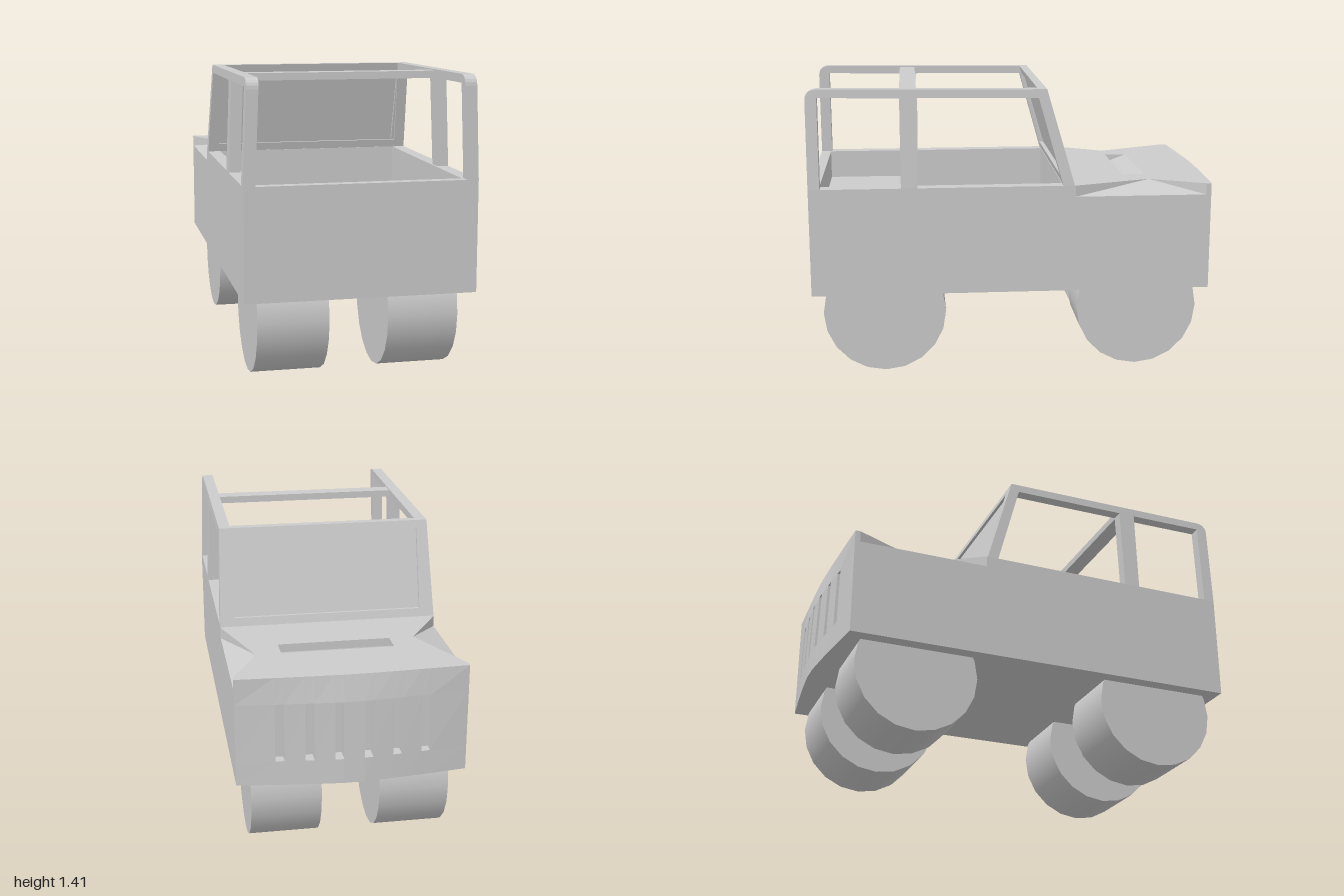
import * as THREE from 'three';

const mat = new THREE.MeshStandardMaterial({ color: 0xcccccc, flatShading: true });
const thin = new THREE.MeshStandardMaterial({ color: 0xcccccc, flatShading: true, side: THREE.DoubleSide });
const smooth = new THREE.MeshStandardMaterial({ color: 0xcccccc });

const TOP = 0.935, BOTTOM = 0.41, HALF = 0.54, NOSE = -0.92;

export function createModel() {
  const model = new THREE.Group();

  const add = (name, geo, material = mat, parent = model) => {
    const mesh = new THREE.Mesh(geo, material);
    mesh.name = name;
    parent.add(mesh);
    return mesh;
  };

  // Flat faces from a list of corner loops, each split as a fan
  const faces = (loops) => {
    const pos = [];
    for (const l of loops)
      for (let i = 1; i < l.length - 1; i++) pos.push(...l[0], ...l[i], ...l[i + 1]);
    const g = new THREE.BufferGeometry();
    g.setAttribute('position', new THREE.Float32BufferAttribute(pos, 3));
    g.computeVertexNormals();
    return g;
  };

  // Six-sided block from a bottom and a top ring, both starting at -x +z, counterclockwise from above
  const block = (b, t) => {
    const loops = [t, [...b].reverse()];
    for (let i = 0; i < 4; i++) {
      const j = (i + 1) % 4;
      loops.push([b[i], b[j], t[j], t[i]]);
    }
    return faces(loops);
  };

  const box = (name, x0, x1, y0, y1, z0, z1, parent) => {
    const g = new THREE.BoxGeometry(x1 - x0, y1 - y0, z1 - z0);
    g.translate((x0 + x1) / 2, (y0 + y1) / 2, (z0 + z1) / 2);
    return add(name, g, mat, parent);
  };

  // Body tub
  const body = new THREE.Group();
  body.name = 'body';
  model.add(body);
  box('floor', -HALF, HALF, BOTTOM, 0.62, NOSE, 1, body);
  box('engineBay', -HALF, HALF, 0.62, 0.88, NOSE, -0.22, body);
  box('cowl', -HALF, HALF, 0.88, TOP, -0.28, -0.22, body);
  box('rearWall', -HALF, HALF, 0.62, TOP, 0.95, 1, body);
  box('rearPlatform', -0.48, 0.48, 0.62, 0.79, 0.53, 0.95, body);
  box('leftWall', 0.475, HALF, 0.62, TOP, -0.22, 0.95, body);
  box('rightWall', -HALF, -0.475, 0.62, TOP, -0.22, 0.95, body);

  // Hood: flat sheet pinched in at both sides, with an opening for the vent
  const pinchL = [0.41, -0.66], pinchR = [-0.37, -0.55];
  const toShape = ([x, z]) => new THREE.Vector2(x, -z);
  const hoodShape = new THREE.Shape(
    [[-HALF, -0.28], [HALF, -0.28], pinchL, [HALF, NOSE], [-HALF, NOSE], pinchR].map(toShape));
  const v = { x0: -0.25, x1: 0.29, z0: -0.66, z1: -0.55, low: 0.895 };
  hoodShape.holes.push(new THREE.Path(
    [[v.x0, v.z0], [v.x1, v.z0], [v.x1, v.z1], [v.x0, v.z1]].map(toShape)));
  const hood = new THREE.ShapeGeometry(hoodShape);
  hood.rotateX(-Math.PI / 2).translate(0, TOP, 0);
  add('hood', hood, thin);

  // Hood vent: a ramp that drops toward the windshield
  add('hoodVent', faces([
    [[v.x0, v.low, v.z1], [v.x1, v.low, v.z1], [v.x1, TOP, v.z0], [v.x0, TOP, v.z0]],
    [[v.x0, TOP, v.z1], [v.x1, TOP, v.z1], [v.x1, v.low, v.z1], [v.x0, v.low, v.z1]],
    [[v.x0, TOP, v.z0], [v.x0, v.low, v.z1], [v.x0, TOP, v.z1]],
    [[v.x1, TOP, v.z0], [v.x1, TOP, v.z1], [v.x1, v.low, v.z1]],
  ]), thin);

  // Fenders: sloping triangle and two steep slivers per side
  for (const [name, s, pinch] of [['leftFender', 1, pinchL], ['rightFender', -1, pinchR]]) {
    const x = s * HALF, p = [pinch[0], TOP, pinch[1]];
    const rear = [x, 0.88, -0.28], front = [x, 0.88, NOSE];
    const tris = [
      [rear, front, p],
      [[x, TOP, -0.28], rear, p],
      [front, [x, TOP, NOSE], p],
    ];
    add(name, faces(s > 0 ? tris : tris.map((t) => [...t].reverse())), thin);
  }

  // Grille: bowed nose made of columns, with a gap in every slot column
  const bow = (x, y) => {
    const k = 1 - Math.pow(Math.abs(x) / HALF, 1.3);
    const depth = y > 0.82 ? 0.043 - (y - 0.82) * 0.2 : 0.055 - (y - BOTTOM) * 0.03;
    return -0.945 - k * depth;
  };
  const grille = new THREE.Group();
  grille.name = 'grille';
  model.add(grille);
  const column = (x0, x1, y0, y1) => {
    const ring = (y) => [[x0, y, NOSE], [x1, y, NOSE], [x1, y, bow(x1, y)], [x0, y, bow(x0, y)]];
    add('grillePanel', block(ring(y0), ring(y1)), mat, grille);
  };
  const edges = [-HALF];
  for (let i = 0; i < 6; i++) {
    const c = (i - 2.5) * 0.136;
    edges.push(c - 0.021, c + 0.021);
  }
  edges.push(HALF);
  for (let i = 0; i < edges.length - 1; i++) {
    const [x0, x1] = [edges[i], edges[i + 1]];
    column(x0, x1, BOTTOM, 0.53);
    if (i % 2 === 0) column(x0, x1, 0.53, 0.81);
    column(x0, x1, 0.81, TOP);
  }

  // Side frames: windshield post, door post, rear post and roof rail in one outline (z, y)
  const outline = new THREE.Shape();
  outline.moveTo(1, TOP);
  outline.lineTo(1, 1.36);
  outline.quadraticCurveTo(1, 1.405, 0.95, 1.41);
  [[-0.14, 1.4], [-0.275, TOP], [-0.22, TOP], [-0.1, 1.36], [0.475, 1.365], [0.48, TOP],
    [0.56, TOP], [0.56, 1.365], [0.945, 1.37], [0.945, TOP]].forEach(([z, y]) => outline.lineTo(z, y));
  outline.closePath();
  const frame = new THREE.ExtrudeGeometry(outline, { depth: 0.055, bevelEnabled: false, curveSegments: 5 });
  frame.rotateY(-Math.PI / 2);
  const fp = frame.attributes.position;
  for (let i = 0; i < fp.count; i++)
    fp.setX(i, fp.getX(i) + HALF - (fp.getY(i) - TOP) * 0.04);
  frame.computeVertexNormals();
  add('leftSideFrame', frame);
  add('rightSideFrame', frame).scale.x = -1;
  box('roofCrossbar', -0.475, 0.475, 1.365, 1.4, 0.48, 0.56);

  // Windshield: slanted slabs that follow the front posts
  const slab = (name, x, y0, y1, inset, depth) => {
    const ring = (y) => {
      const z = -0.275 + (y - TOP) * 0.29 + inset;
      return [[-x, y, z + depth], [x, y, z + depth], [x, y, z], [-x, y, z]];
    };
    add(name, block(ring(y0), ring(y1)));
  };
  slab('windshieldSill', 0.49, TOP, 0.975, 0, 0.052);
  slab('windshieldHeader', 0.475, 1.36, 1.4, 0, 0.042);
  slab('windshieldPane', 0.48, 0.97, 1.365, 0.015, 0.015);
  for (const s of [-1, 1]) {
    const ring = (y) => {
      const z = -0.275 + (y - TOP) * 0.29;
      const [a, b] = s > 0 ? [0.468, 0.5] : [-0.5, -0.468];
      return [[a, y, z + 0.045], [b, y, z + 0.045], [b, y, z], [a, y, z]];
    };
    add('windshieldEdge', block(ring(TOP), ring(1.395)));
  }

  // Wheels
  const wheel = new THREE.CylinderGeometry(0.3, 0.3, 0.333, 20);
  wheel.rotateZ(Math.PI / 2);
  for (const [end, z] of [['front', -0.6], ['rear', 0.65]])
    for (const [side, x] of [['Left', 0.302], ['Right', -0.307]])
      add(`${end}${side}Wheel`, wheel, smooth).position.set(x, 0.3, z);

  return model;
}
